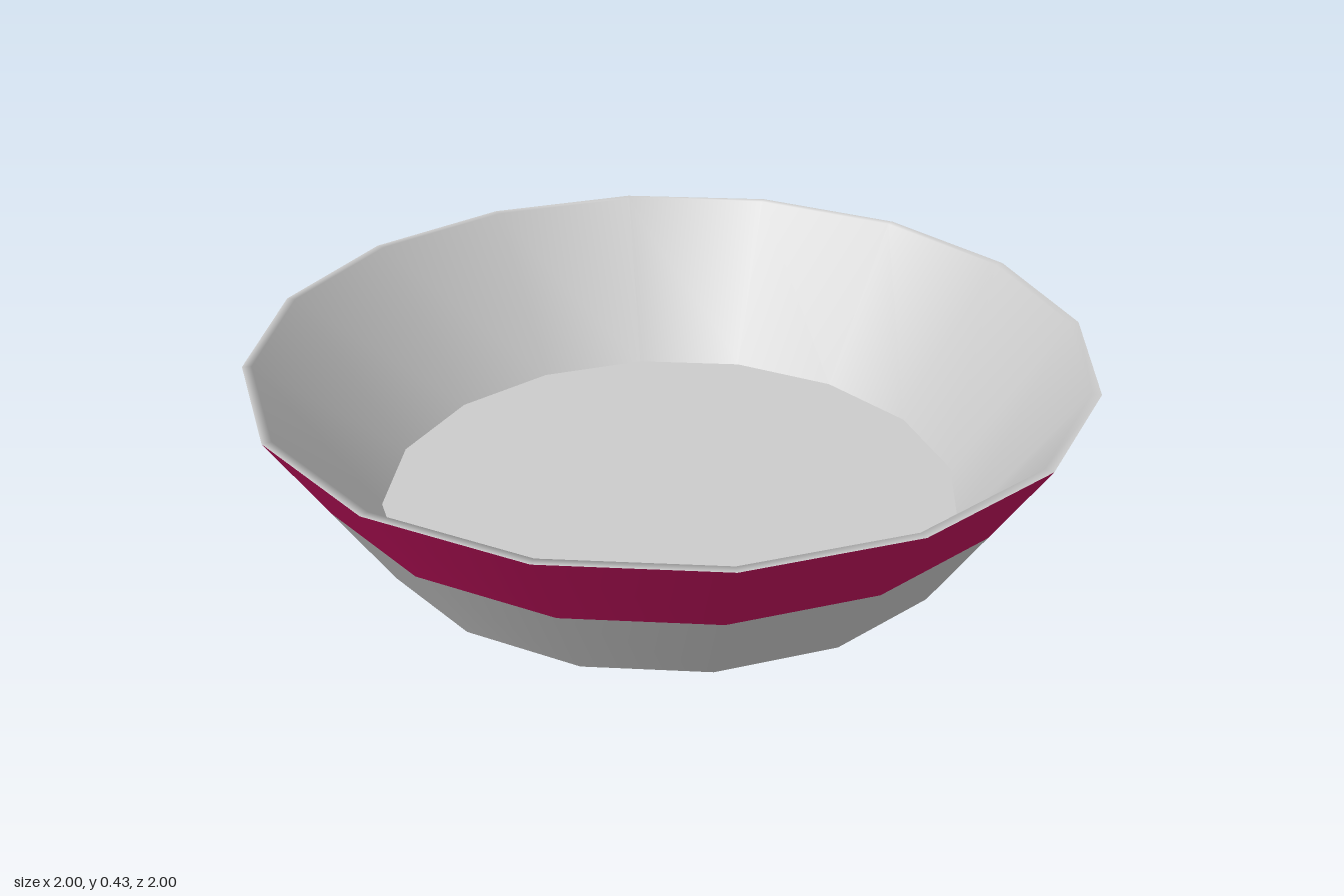
import * as THREE from 'three';

const SIDES = 16;
const H = 0.425;
const MID = 0.215;

// outer wall radius at a given height
const outer = (y) => 0.73 + 0.27 * (y / H);

export function createModel() {
  const bowl = new THREE.Group();
  bowl.name = 'bowl';

  const grey = new THREE.MeshStandardMaterial({ color: 0xcccccc });
  const magenta = new THREE.MeshStandardMaterial({ color: 0xc0125c });

  const add = (name, geometry, material) => {
    const mesh = new THREE.Mesh(geometry, material);
    mesh.name = name;
    bowl.add(mesh);
    return mesh;
  };
  const ring = (name, profile, material) =>
    add(name, new THREE.LatheGeometry(profile.map(([r, y]) => new THREE.Vector2(r, y)), SIDES), material);
  const disc = (name, r, y, facing) => {
    const mesh = add(name, new THREE.CircleGeometry(r, SIDES), grey);
    mesh.rotation.x = -facing * Math.PI / 2;
    mesh.position.y = y;
  };

  // outside wall: plain lower half, coloured band above
  ring('lowerWall', [[outer(0), 0], [outer(MID), MID]], grey);
  ring('colouredBand', [[outer(MID), MID], [outer(H), H]], magenta);

  // narrow rim running over into the inside wall
  ring('rimAndInnerWall', [[outer(H), H], [0.978, H], [0.71, 0.035]], grey);

  // inside floor and underside
  disc('innerFloor', 0.71, 0.035, 1);
  disc('base', outer(0), 0, -1);

  return bowl;
}
